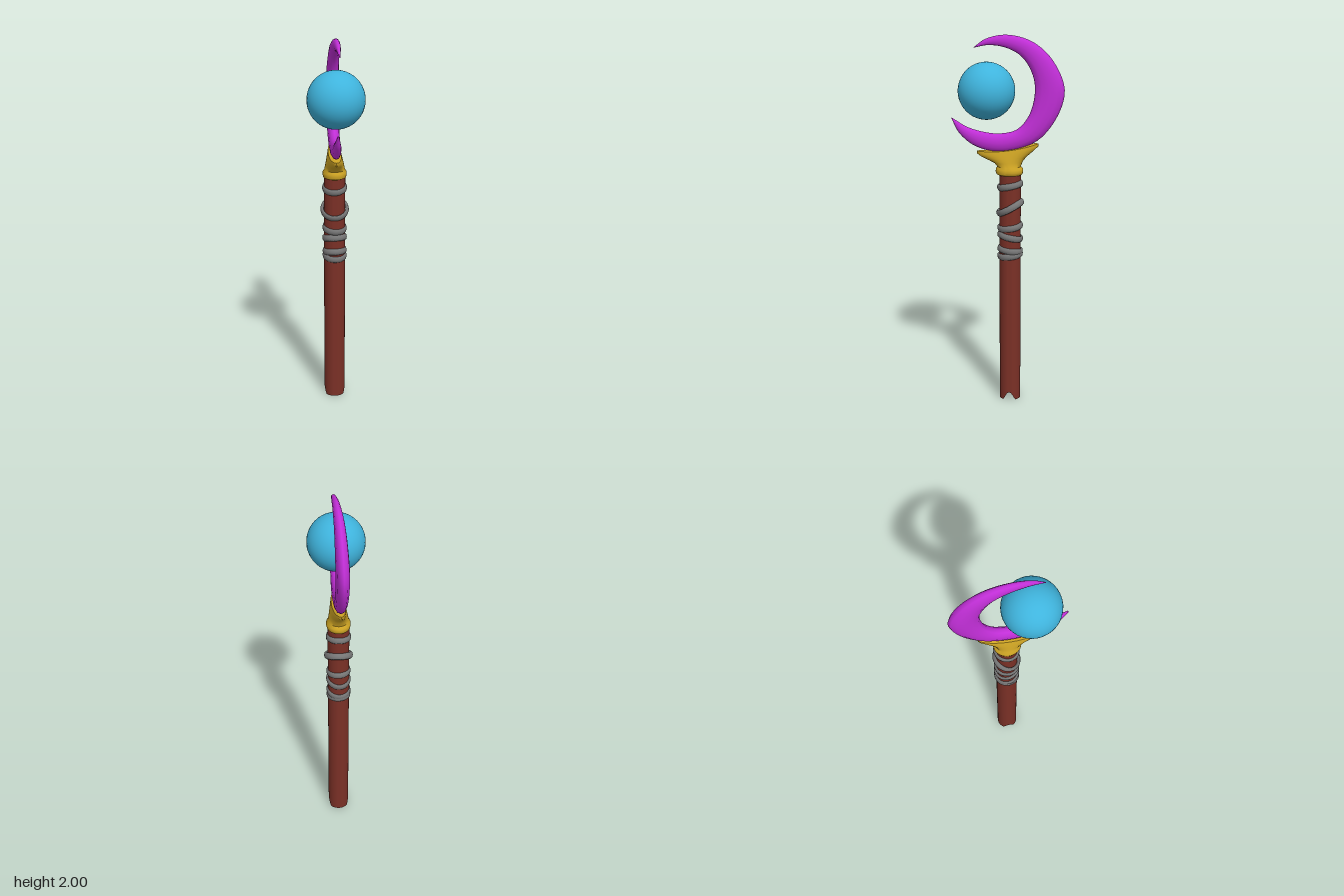
import * as THREE from 'three';
import { toCreasedNormals } from 'three/addons/utils/BufferGeometryUtils.js';

const material = (color) => new THREE.MeshStandardMaterial({ color });

function addMesh(parent, name, geometry, mat) {
  const mesh = new THREE.Mesh(geometry, mat);
  mesh.name = name;
  parent.add(mesh);
  return mesh;
}

// Skin a list of closed rings, each with the same number of points
function loft(rings) {
  const n = rings[0].length;
  const index = [];
  for (let i = 0; i < rings.length - 1; i++) {
    for (let j = 0; j < n; j++) {
      const a = i * n + j, b = i * n + (j + 1) % n;
      index.push(a, a + n, b + n, a, b + n, b);
    }
  }
  const geometry = new THREE.BufferGeometry().setFromPoints(rings.flat());
  geometry.setIndex(index);
  geometry.computeVertexNormals();
  return geometry;
}

const AXIS_Z = -0.014;

// Round shaft with an arched notch cut across its foot
function shaftGeometry() {
  const r = 0.057;
  const profile = [0, 0.2, 0.4, 0.6, 0.8, 1].map((t) => new THREE.Vector2(t * r, 0));
  profile.push(new THREE.Vector2(r, 0.06), new THREE.Vector2(r, 1.3));
  const geometry = new THREE.LatheGeometry(profile, 40);
  const p = geometry.attributes.position;
  for (let i = 0; i < p.count; i++) {
    if (p.getY(i) < 0.01) {
      p.setY(i, 0.045 * Math.max(0, 1 - (p.getZ(i) / 0.03) ** 2));
    }
  }
  return toCreasedNormals(geometry, 0.7);
}

// Crescent: elliptical sections between an outer and an inner edge
function crescentGeometry() {
  // x = half thickness, then y and z of the outer edge
  const outer = [
    [0.002, 1.935, 0.175], [0.012, 1.98, 0.11], [0.02, 2.0, 0.0], [0.027, 1.965, -0.13],
    [0.032, 1.87, -0.235], [0.035, 1.72, -0.297], [0.034, 1.58, -0.26], [0.032, 1.45, -0.155],
    [0.03, 1.39, 0.015], [0.025, 1.415, 0.165], [0.018, 1.485, 0.255], [0.004, 1.565, 0.297],
  ];
  // x = sideways drift, then y and z of the inner edge
  const inner = [
    [0.015, 1.933, 0.175], [0.012, 1.947, 0.1], [0.008, 1.935, 0.01], [0.004, 1.892, -0.07],
    [0.002, 1.81, -0.125], [0, 1.72, -0.143], [0, 1.59, -0.115], [0, 1.51, -0.05],
    [0, 1.487, 0.04], [0, 1.495, 0.13], [0, 1.52, 0.215], [0, 1.567, 0.294],
  ];
  const curve = (pts) => new THREE.CatmullRomCurve3(pts.map((p) => new THREE.Vector3(...p)));
  const outerCurve = curve(outer), innerCurve = curve(inner);
  const steps = 55, sides = 12;
  const rings = [];
  for (let i = 0; i <= steps; i++) {
    const o = outerCurve.getPoint(i / steps), n = innerCurve.getPoint(i / steps);
    const ring = [];
    for (let j = 0; j < sides; j++) {
      const t = (j / sides) * Math.PI * 2;
      const k = (1 + Math.cos(t)) / 2;
      ring.push(new THREE.Vector3(
        n.x - o.x * Math.sin(t),
        n.y + (o.y - n.y) * k,
        n.z + (o.z - n.z) * k,
      ));
    }
    rings.push(ring);
  }
  // Close both tips
  const tip = (ring) => {
    const c = ring.reduce((s, v) => s.add(v), new THREE.Vector3()).divideScalar(sides);
    return ring.map(() => c.clone());
  };
  return loft([tip(rings[0]), ...rings, tip(rings[steps])]);
}

// Socket: round collar flaring into a narrow cradle with a higher back
function socketGeometry() {
  // y, half width, half depth, centre z, tilt, end rise
  const rows = [
    [1.265, 0.05, 0.055, AXIS_Z, 0, 0],
    [1.272, 0.061, 0.069, -0.01, 0, 0],
    [1.285, 0.064, 0.073, -0.01, 0, 0],
    [1.3, 0.063, 0.072, -0.01, 0, 0],
    [1.312, 0.055, 0.062, -0.008, 0, 0],
    [1.335, 0.05, 0.075, -0.005, 0.004, 0],
    [1.355, 0.046, 0.1, 0, 0.01, 0],
    [1.375, 0.041, 0.138, 0, 0.018, 0.005],
    [1.39, 0.037, 0.162, 0, 0.022, 0.01],
    [1.4, 0.034, 0.163, 0, 0.022, 0.015],
    [1.402, 0.026, 0.15, 0, 0.022, 0.015],
    [1.395, 0, 0, 0, 0, 0],
  ];
  const sides = 28;
  const rings = rows.map(([y, w, d, z, tilt, rise]) => Array.from({ length: sides }, (_, j) => {
    const t = (j / sides) * Math.PI * 2, s = Math.sin(t);
    return new THREE.Vector3(w * Math.cos(t), y - tilt * s + rise * s * s, z + d * s);
  }));
  return toCreasedNormals(loft(rings), 0.8);
}

export function createModel() {
  const group = new THREE.Group();
  group.name = 'staff';

  addMesh(group, 'shaft', shaftGeometry(), material(0x7a3026)).position.z = AXIS_Z;
  addMesh(group, 'socket', socketGeometry(), material(0xcfa524));
  addMesh(group, 'crescent', crescentGeometry(), material(0xc22fd8));
  addMesh(group, 'orb', new THREE.SphereGeometry(0.15, 36, 24), material(0x3fb4dd))
    .position.set(0, 1.71, 0.11);

  // Flattened grip bands: height, tilt toward the back, sideways tilt, radius
  const grip = new THREE.Group();
  grip.name = 'gripBands';
  group.add(grip);
  const bandMaterial = material(0x777777);
  [
    [1.21, 0.22, 0.04, 0.057],
    [1.09, 0.5, 0.03, 0.067],
    [0.985, 0.15, -0.06, 0.056],
    [0.93, -0.25, 0.05, 0.057],
    [0.855, -0.16, 0.05, 0.056],
    [0.828, 0.14, -0.04, 0.056],
  ].forEach(([y, tilt, roll, radius]) => {
    const geometry = new THREE.TorusGeometry(radius, 0.0095, 8, 36);
    geometry.rotateX(Math.PI / 2).scale(1, 1.9, 1.06);
    const band = addMesh(grip, 'gripBand', geometry, bandMaterial);
    band.position.set(0, y, AXIS_Z);
    band.rotation.set(tilt, 0, roll);
  });

  return group;
}
